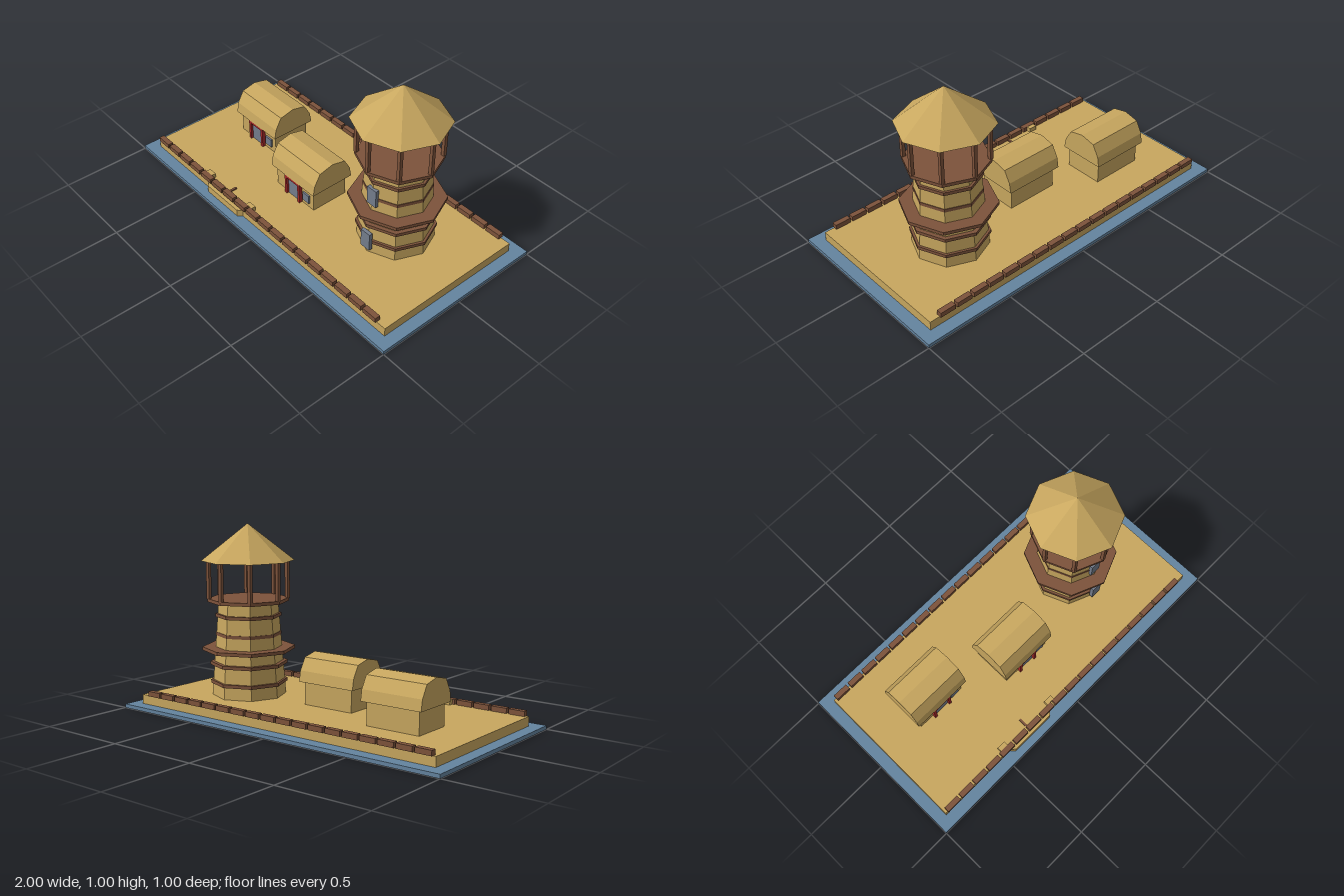
import * as THREE from 'three';

const mat = (name, color) => {
  const m = new THREE.MeshStandardMaterial({ color, flatShading: true });
  m.name = name;
  return m;
};

export function createModel() {
  const sand = mat('sand', 0xc8a75f);
  const wood = mat('wood', 0x7d533b);
  const water = mat('water', 0x64849f);
  const grey = mat('grey', 0x747d8c);
  const red = mat('red', 0xa52a2a);

  const model = new THREE.Group();
  model.name = 'beachOutpost';

  const add = (parent, name, geometry, material, x = 0, y = 0, z = 0) => {
    const mesh = new THREE.Mesh(geometry, material);
    mesh.name = name;
    mesh.position.set(x, y, z);
    parent.add(mesh);
    return mesh;
  };
  // Box given by its extents on each axis
  const box = (parent, name, material, x0, x1, y0, y1, z0, z1) =>
    add(parent, name, new THREE.BoxGeometry(x1 - x0, y1 - y0, z1 - z0), material,
      (x0 + x1) / 2, (y0 + y1) / 2, (z0 + z1) / 2);
  const group = (name, x, y, z) => {
    const g = new THREE.Group();
    g.name = name;
    g.position.set(x, y, z);
    model.add(g);
    return g;
  };

  // Ground
  box(model, 'waterBase', water, -1, 1, 0, 0.02, -0.5, 0.5);
  box(model, 'sandPlatform', sand, -0.935, 0.935, 0.02, 0.07, -0.432, 0.434);

  // Log borders along front and back
  for (const z of [0.428, -0.428]) {
    for (let i = 0; i < 18; i++) {
      const x = -0.876 + i * 0.1006;
      box(model, 'borderLog', wood, x - 0.044, x + 0.044, 0.07, 0.097, z - 0.015, z + 0.015);
    }
  }

  // Low landing set into the front edge
  const landing = new THREE.Shape();
  [[-0.153, 0], [-0.13, 0.023], [0.13, 0.023], [0.153, 0]].forEach(([x, z], i) =>
    i ? landing.lineTo(x, -z) : landing.moveTo(x, -z));
  const landingGeometry = new THREE.ExtrudeGeometry(landing, { depth: 0.04, bevelEnabled: false });
  landingGeometry.rotateX(-Math.PI / 2);
  add(model, 'landing', landingGeometry, sand, -0.305, 0.02, 0.434);
  for (const x of [-0.48, -0.125]) {
    box(model, 'landingCorner', sand, x - 0.024, x + 0.024, 0.07, 0.096, 0.388, 0.413);
  }
  box(model, 'landingBeam', wood, -0.313, -0.301, 0.07, 0.078, 0.36, 0.43);

  // Tower: tapered octagonal body
  const tower = group('tower', 0.5, 0, -0.05);
  add(tower, 'towerBody', new THREE.CylinderGeometry(0.16, 0.2, 0.51, 8), sand, 0, 0.325, 0);

  // Wooden bands and decks: centre height, radius
  const bands = [[0.144, 0.207], [0.244, 0.208], [0.324, 0.25], [0.404, 0.176], [0.505, 0.178], [0.586, 0.22]];
  for (const [y, r] of bands) {
    add(tower, 'towerBand', new THREE.CylinderGeometry(r, r, 0.018, 8), wood, 0, y, 0);
  }

  // Posts under the roof
  for (let i = 0; i < 8; i++) {
    const a = (i * Math.PI) / 4;
    add(tower, 'roofPost', new THREE.BoxGeometry(0.019, 0.205, 0.019), wood,
      Math.sin(a) * 0.21, 0.695, Math.cos(a) * 0.21);
  }
  add(tower, 'towerRoof', new THREE.ConeGeometry(0.25, 0.198, 8), sand, 0, 0.896, 0);

  // Tower windows
  box(tower, 'towerWindow', grey, -0.031, 0.031, 0.1, 0.203, 0.193, 0.213);
  box(tower, 'towerWindow', grey, -0.031, 0.031, 0.364, 0.465, 0.161, 0.18);

  // Hut roof: faceted arch extruded along x
  const arch = [[0.131, 0], [0.121, 0.058], [0.084, 0.123], [0, 0.142]];
  const archShape = new THREE.Shape(
    [...arch, ...arch.slice(0, 3).reverse().map(([u, v]) => [-u, v])].map(([u, v]) => new THREE.Vector2(u, v)));
  const hutRoof = new THREE.ExtrudeGeometry(archShape, { depth: 0.344, bevelEnabled: false });
  hutRoof.translate(0, 0, -0.172);
  hutRoof.rotateY(Math.PI / 2);

  // Two huts
  for (const [x, z] of [[-0.554, -0.1], [-0.052, 0.047]]) {
    const hut = group('hut', x, 0, z);
    box(hut, 'hutBody', sand, -0.15, 0.15, 0.07, 0.192, -0.11, 0.11);
    add(hut, 'hutRoof', hutRoof, sand, 0, 0.192, 0);
    for (const s of [-1, 1]) {
      add(hut, 'doorPost', new THREE.BoxGeometry(0.016, 0.122, 0.021), red, s * 0.052 - 0.003, 0.131, 0.12);
    }
    box(hut, 'doorLintel', red, -0.047, 0.041, 0.177, 0.192, 0.11, 0.13);
    box(hut, 'door', grey, -0.047, 0.041, 0.07, 0.177, 0.108, 0.117);
    box(hut, 'hutWindow', grey, 0.07, 0.121, 0.1, 0.15, 0.108, 0.12);
  }

  return model;
}
